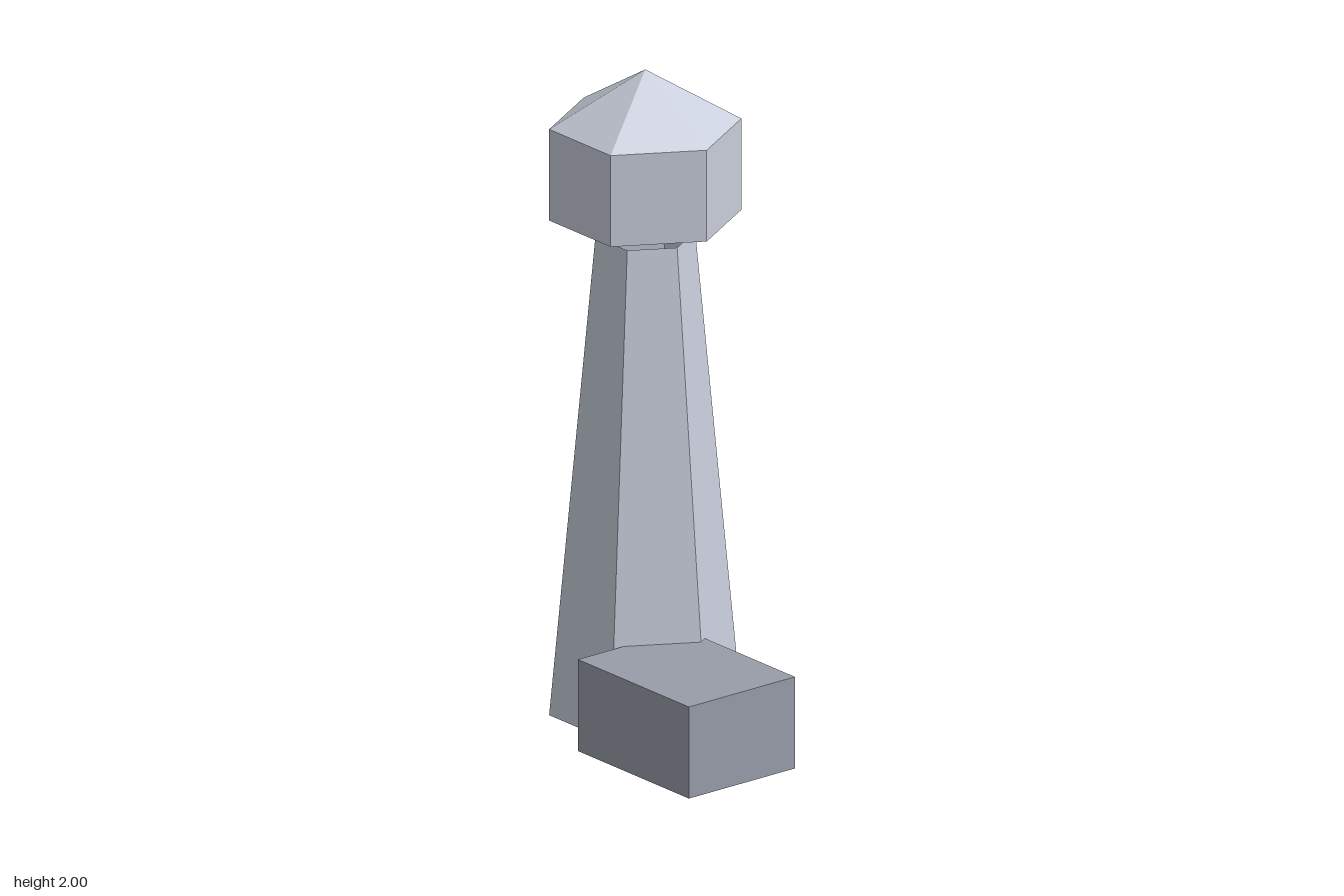
import * as THREE from 'three';

export function createModel() {
  const model = new THREE.Group();
  model.name = 'lighthouse';

  const paleStone = new THREE.MeshStandardMaterial({ color: 0xc8cedb, flatShading: true, side: THREE.DoubleSide });
  paleStone.name = 'pale stone';
  const greyStone = new THREE.MeshStandardMaterial({ color: 0x989da9, flatShading: true });
  greyStone.name = 'grey stone';

  const cx = -0.187, cz = -0.062;

  // Six-sided prism, cone or frustum on the tower axis, corners pointing along x
  function hexPart(name, topRadius, bottomRadius, y0, y1, open) {
    const geometry = new THREE.CylinderGeometry(topRadius, bottomRadius, y1 - y0, 6, 1, open, Math.PI / 6);
    const mesh = new THREE.Mesh(geometry, paleStone);
    mesh.name = name;
    mesh.position.set(cx, (y0 + y1) / 2, cz);
    model.add(mesh);
  }

  // Hollow tapering tower
  hexPart('tower', 0.148, 0.285, 0, 1.486, true);

  // Lantern room floating just above the tower: floor, walls and pointed roof
  hexPart('lanternWalls', 0.285, 0.285, 1.545, 1.83, true);
  hexPart('lanternRoof', 0, 0.285, 1.83, 2, true);
  const floor = new THREE.Mesh(new THREE.CircleGeometry(0.285, 6), paleStone);
  floor.name = 'lanternFloor';
  floor.rotation.x = Math.PI / 2;
  floor.position.set(cx, 1.545, cz);
  model.add(floor);

  // Low annex overlapping the tower's front left side
  const annex = new THREE.Mesh(new THREE.BoxGeometry(0.514, 0.286, 0.4), greyStone);
  annex.name = 'annex';
  annex.position.set(0.214, 0.143, 0.109);
  model.add(annex);

  return model;
}
